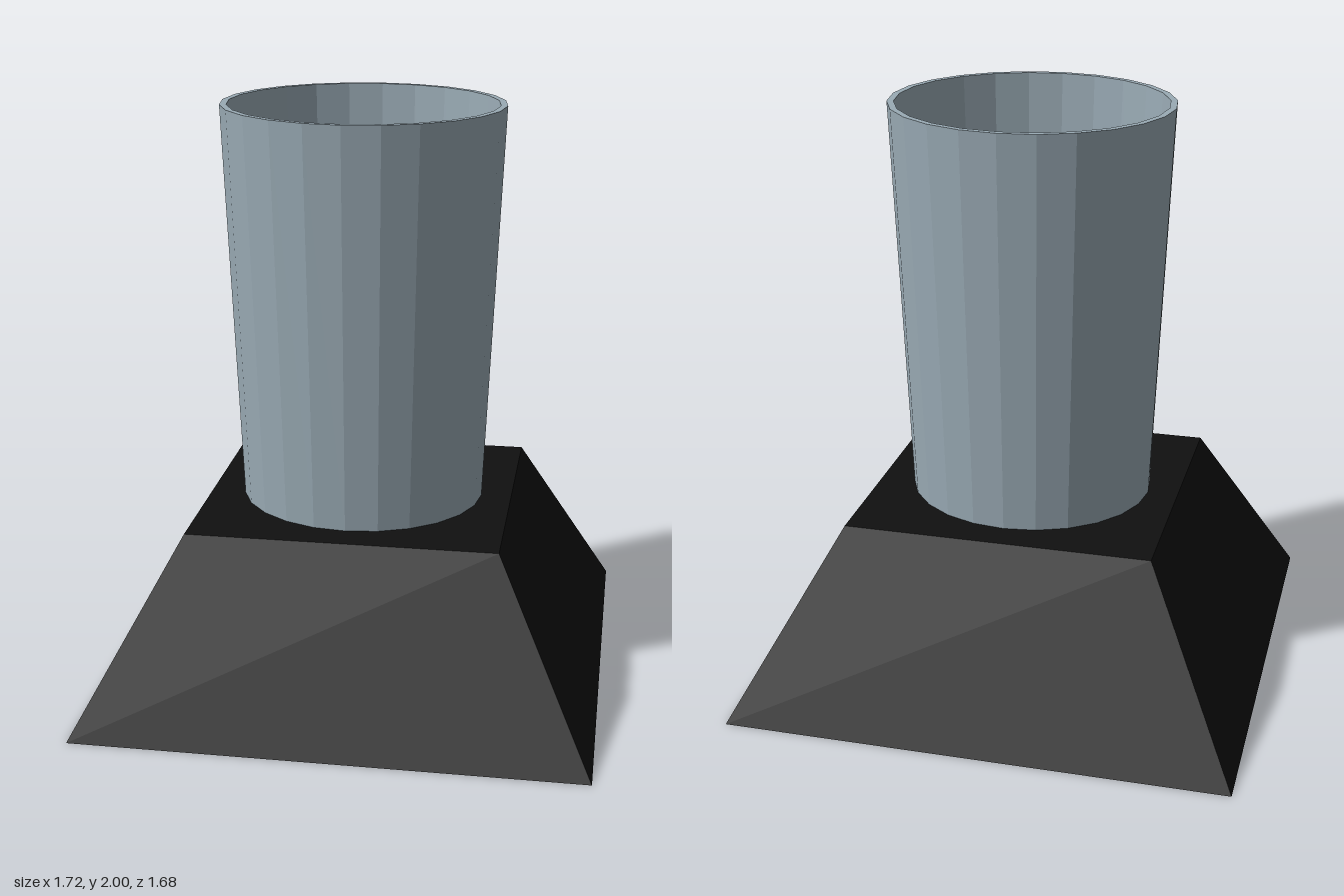
import * as THREE from 'three';

const BASE_HEIGHT = 0.63;

export function createModel() {
  const group = new THREE.Group();
  const dark = new THREE.MeshStandardMaterial({ color: 0x101010, flatShading: true });
  const blueGrey = new THREE.MeshStandardMaterial({ color: 0x9aabb5, flatShading: true });

  // Base: four-sided frustum, turned so its sides face the axes
  const baseGeometry = new THREE.CylinderGeometry(0.525 * Math.SQRT2, 0.86 * Math.SQRT2, BASE_HEIGHT, 4);
  baseGeometry.rotateY(Math.PI / 4);
  baseGeometry.scale(1, 1, 0.84 / 0.86);
  baseGeometry.translate(0, BASE_HEIGHT / 2, 0);
  const base = new THREE.Mesh(baseGeometry, dark);
  base.name = 'base';
  group.add(base);

  // Cup: flared hollow tumbler with a thin wall and a closed floor
  const profile = [
    [0, BASE_HEIGHT], [0.42, BASE_HEIGHT], [0.48, 2],
    [0.457, 2], [0.4, 0.68], [0, 0.68],
  ].map(([r, y]) => new THREE.Vector2(r, y));
  const cupGeometry = new THREE.LatheGeometry(profile, 24);
  cupGeometry.scale(1, 1, 0.46 / 0.48);
  const cup = new THREE.Mesh(cupGeometry, blueGrey);
  cup.name = 'cup';
  group.add(cup);

  return group;
}
